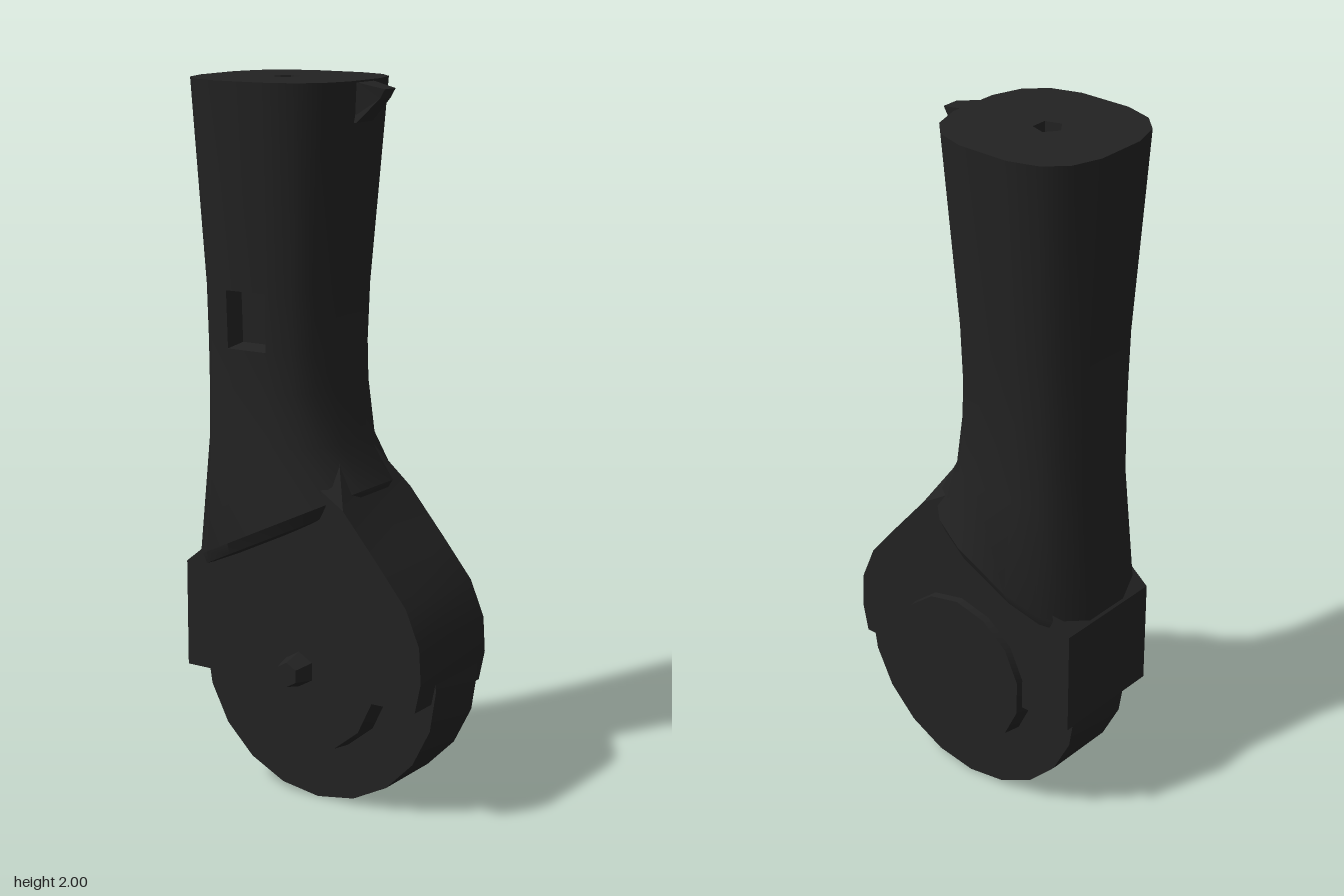
import * as THREE from 'three';
import { toCreasedNormals } from 'three/addons/utils/BufferGeometryUtils.js';

const material = new THREE.MeshStandardMaterial({ color: 0x222222 });
const openMaterial = new THREE.MeshStandardMaterial({ color: 0x222222, side: THREE.DoubleSide });
const SIDES = 16;

function add(group, name, geometry, mat = material) {
  const mesh = new THREE.Mesh(geometry, mat);
  mesh.name = name;
  group.add(mesh);
  return mesh;
}

// Rounded-rectangle cross-section, optionally sloping along x
function ring([y, x0, x1, depth, slope = 0]) {
  const cx = (x0 + x1) / 2, half = (x1 - x0) / 2;
  const round = (v) => Math.sign(v) * Math.abs(v) ** (2 / 2.8);
  return Array.from({ length: SIDES }, (_, j) => {
    const t = ((j + 0.5) / SIDES) * Math.PI * 2;
    const dx = half * round(Math.cos(t));
    return new THREE.Vector3(cx + dx, y + slope * dx, depth * round(Math.sin(t)));
  });
}

// Stem walls, with a square pocket sunk into the front
function stemGeometry(rings) {
  const points = [];
  const quad = (a, b, c, d) => points.push(a, b, d, b, c, d);
  for (let i = 0; i < rings.length - 1; i++) {
    for (let j = 0; j < SIDES; j++) {
      const k = (j + 1) % SIDES;
      const face = [rings[i][j], rings[i][k], rings[i + 1][k], rings[i + 1][j]];
      if (i !== 1 || j !== 3) {
        quad(...face);
        continue;
      }
      const centre = new THREE.Vector3();
      face.forEach((p) => centre.addScaledVector(p, 0.25));
      const floor = face.map((p) => p.clone().lerp(centre, 0.12).add(new THREE.Vector3(0, 0, -0.06)));
      for (let s = 0; s < 4; s++) {
        const n = (s + 1) % 4;
        quad(face[s], face[n], floor[n], floor[s]);
      }
      quad(...floor);
    }
  }
  return toCreasedNormals(new THREE.BufferGeometry().setFromPoints(points), 0.55);
}

// Disc along z between two depths, with different radii at each end
function disc(rFront, rBack, zBack, zFront, sides) {
  const g = new THREE.CylinderGeometry(rFront, rBack, zFront - zBack, sides);
  g.rotateX(Math.PI / 2);
  g.translate(0, 0.385, (zFront + zBack) / 2);
  return toCreasedNormals(g, 0.5);
}

function extrude(points, depth) {
  const shape = new THREE.Shape(points.map(([x, y]) => new THREE.Vector2(x, y)));
  const g = new THREE.ExtrudeGeometry(shape, { depth, bevelEnabled: false });
  g.translate(0, 0, -depth / 2);
  return g;
}

export function createModel() {
  const group = new THREE.Group();
  group.name = 'casterLeg';

  // Stem, ending in a sloping ledge above the hood
  const rings = [
    [2, -0.39, 0.1, 0.242],
    [1.44, -0.355, 0.052, 0.207],
    [1.28, -0.353, 0.047, 0.2],
    [1.17, -0.352, 0.05, 0.2],
    [1.02, -0.352, 0.07, 0.205],
    [0.78, -0.383, 0.14, 0.23, 0.48],
    [0.745, -0.383, 0.13, 0.215, 0.48],
    [0.735, -0.37, 0.12, 0.15, 0.48],
  ].map(ring);
  add(group, 'stem', stemGeometry(rings));

  // Stem top with a five-sided socket
  const top = new THREE.Shape(rings[0].map((p) => new THREE.Vector2(p.x, -p.z)).reverse());
  const hole = Array.from({ length: 5 }, (_, i) => {
    const t = Math.PI + (i * Math.PI * 2) / 5;
    return new THREE.Vector2(-0.155 + 0.04 * Math.cos(t), 0.04 * Math.sin(t));
  });
  top.holes.push(new THREE.Path(hole));
  const topGeometry = new THREE.ShapeGeometry(top);
  topGeometry.rotateX(-Math.PI / 2);
  add(group, 'stemTop', topGeometry, openMaterial).position.y = 2;

  const socket = new THREE.CylinderGeometry(0.04, 0.03, 0.07, 5, 1, true, -Math.PI / 2);
  add(group, 'socketWall', toCreasedNormals(socket, 0.3), openMaterial).position.set(-0.155, 1.965, 0);
  const socketFloor = new THREE.CircleGeometry(0.03, 5, Math.PI);
  socketFloor.rotateX(-Math.PI / 2);
  add(group, 'socketFloor', socketFloor).position.set(-0.155, 1.93, 0);

  // Pointed catch at the top of the stem, narrowing outwards
  const tab = extrude([[0.06, 1.89], [0.095, 1.89], [0.16, 1.955], [0.175, 1.98], [0.1, 1.995], [0.06, 1.995]], 0.08);
  const tp = tab.attributes.position;
  for (let i = 0; i < tp.count; i++) {
    if (tp.getX(i) > 0.12) tp.setZ(i, tp.getZ(i) * 0.65);
  }
  tab.computeVertexNormals();
  add(group, 'catch', tab);

  // Hood over the wheel, thinning where it runs into the stem
  const hood = extrude([
    [-0.386, 0.345], [0.37, 0.345], [0.388, 0.43], [0.382, 0.53], [0.34, 0.63],
    [0.25, 0.74], [0.14, 0.87], [0.07, 1.0], [0, 0.96], [-0.25, 0.76], [-0.386, 0.65],
  ], 0.34);
  const hp = hood.attributes.position;
  for (let i = 0; i < hp.count; i++) {
    if (hp.getY(i) > 0.98) hp.setZ(i, hp.getZ(i) * 0.5);
  }
  add(group, 'hood', toCreasedNormals(hood, 0.6));

  // Wheel with a raised hub on each side
  add(group, 'wheel', disc(0.385, 0.385, -0.137, 0.085, 20));
  add(group, 'frontHub', disc(0.225, 0.238, 0.05, 0.15, 14));
  add(group, 'backHub', disc(0.238, 0.225, -0.19, -0.1, 14));

  // Axle end
  const axle = new THREE.CylinderGeometry(0.035, 0.055, 0.08, 6);
  axle.rotateX(Math.PI / 2);
  add(group, 'axleEnd', toCreasedNormals(axle, 0.3)).position.set(-0.005, 0.4, 0.19);

  return group;
}
